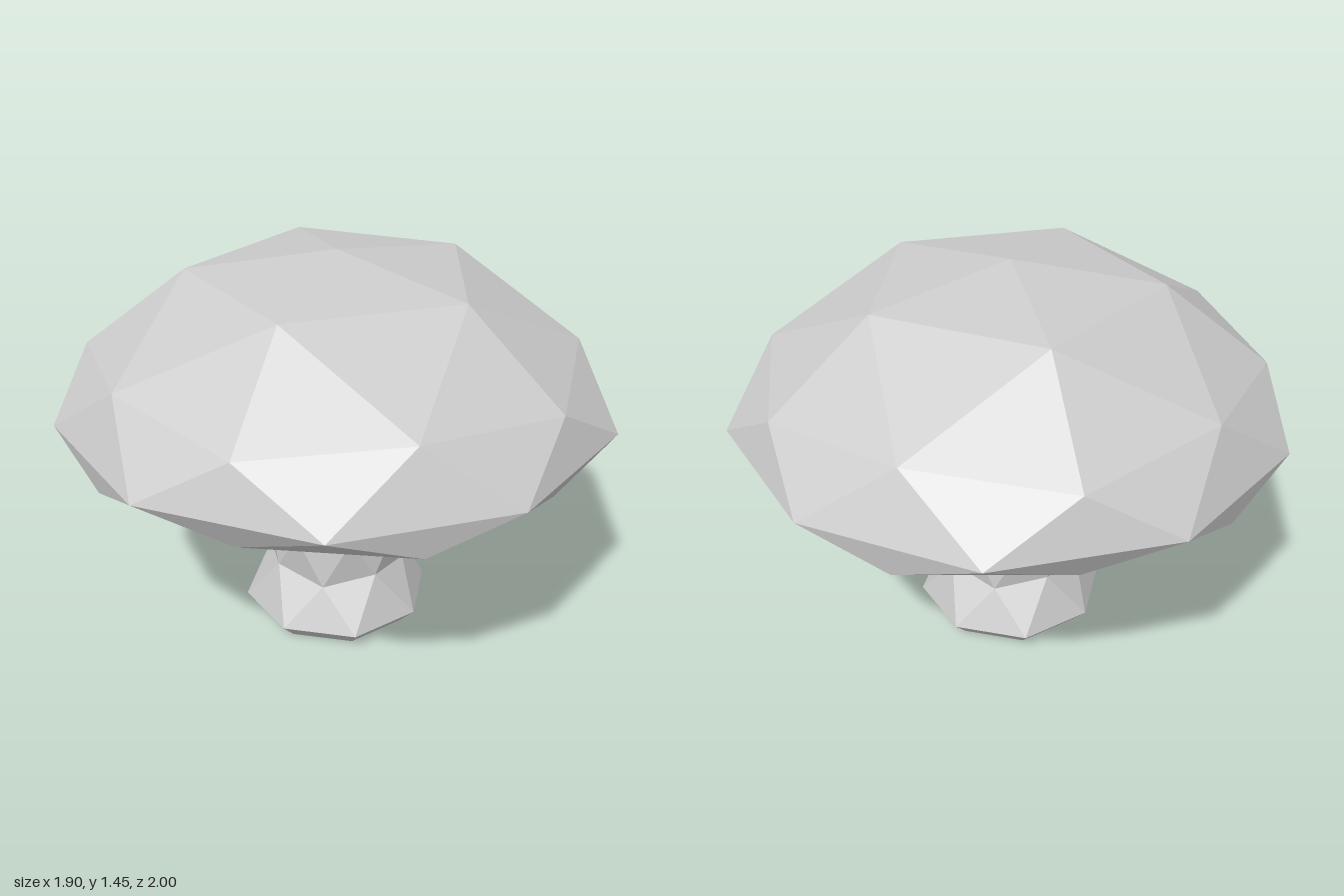
import * as THREE from 'three';

const material = new THREE.MeshStandardMaterial({ color: 0xcccccc, flatShading: true });

function part(name, geometry) {
  geometry.computeVertexNormals();
  const mesh = new THREE.Mesh(geometry, material);
  mesh.name = name;
  return mesh;
}

// Faceted dome: a subdivided icosahedron with a vertex on top, each level moved to a new height
function capGeometry() {
  const geometry = new THREE.IcosahedronGeometry(1, 1);
  geometry.rotateX(-Math.atan((1 + Math.sqrt(5)) / 2));
  geometry.rotateY(Math.PI / 2);
  // [level on unit sphere, new height, radial scale]
  const levels = [
    [1, 1.445, 1], [0.851, 1.37, 1], [0.526, 1.13, 1], [0.447, 1.09, 1], [0, 0.915, 1],
    [-0.447, 0.795, 1.04], [-0.526, 0.795, 1.04], [-0.851, 0.845, 1.04], [-1, 0.88, 1],
  ];
  const p = geometry.attributes.position;
  for (let i = 0; i < p.count; i++) {
    const y = p.getY(i);
    const [, height, scale] = levels.reduce((a, b) => (Math.abs(b[0] - y) < Math.abs(a[0] - y) ? b : a));
    p.setXYZ(i, p.getX(i) * scale, height, p.getZ(i) * scale);
  }
  return geometry;
}

// Eight-sided loft whose rings may be turned by half a step to give triangular facets
function stemGeometry() {
  const sides = 8;
  // [height, radius, turn in steps, height change of every second corner]
  const rings = [
    [0, 0.298, 0.5, 0],
    [0.065, 0.357, 0.5, 0],
    [0.255, 0.262, 0, -0.03],
    [0.42, 0.265, 0.5, 0],
    [0.472, 0.364, 0.5, 0],
    [0.527, 0.272, 0.5, 0],
    [0.668, 0.252, 0, 0.022],
    [0.92, 0.445, 0.5, 0],
  ];
  const points = [];
  const index = [];
  for (const [y, r, turn, zigzag] of rings) {
    for (let i = 0; i < sides; i++) {
      const a = ((i + turn) / sides) * Math.PI * 2;
      points.push(r * Math.cos(a) - 0.003, y + (i % 2) * zigzag, -r * Math.sin(a));
    }
  }
  for (let k = 0; k < rings.length - 1; k++) {
    for (let i = 0; i < sides; i++) {
      const j = (i + 1) % sides;
      const a = k * sides;
      const b = a + sides;
      if (rings[k][2] > rings[k + 1][2]) index.push(a + i, a + j, b + j, a + i, b + j, b + i);
      else index.push(a + i, a + j, b + i, a + j, b + j, b + i);
    }
  }
  // Slightly hollow foot and closed top
  const foot = points.length / 3;
  points.push(0, 0.03, 0, 0, 0.92, 0);
  const top = (rings.length - 1) * sides;
  for (let i = 0; i < sides; i++) {
    const j = (i + 1) % sides;
    index.push(foot, j, i, foot + 1, top + i, top + j);
  }
  const geometry = new THREE.BufferGeometry();
  geometry.setAttribute('position', new THREE.Float32BufferAttribute(points, 3));
  geometry.setIndex(index);
  return geometry;
}

export function createModel() {
  const group = new THREE.Group();
  group.name = 'mushroom';
  group.add(part('cap', capGeometry()), part('stem', stemGeometry()));
  return group;
}
